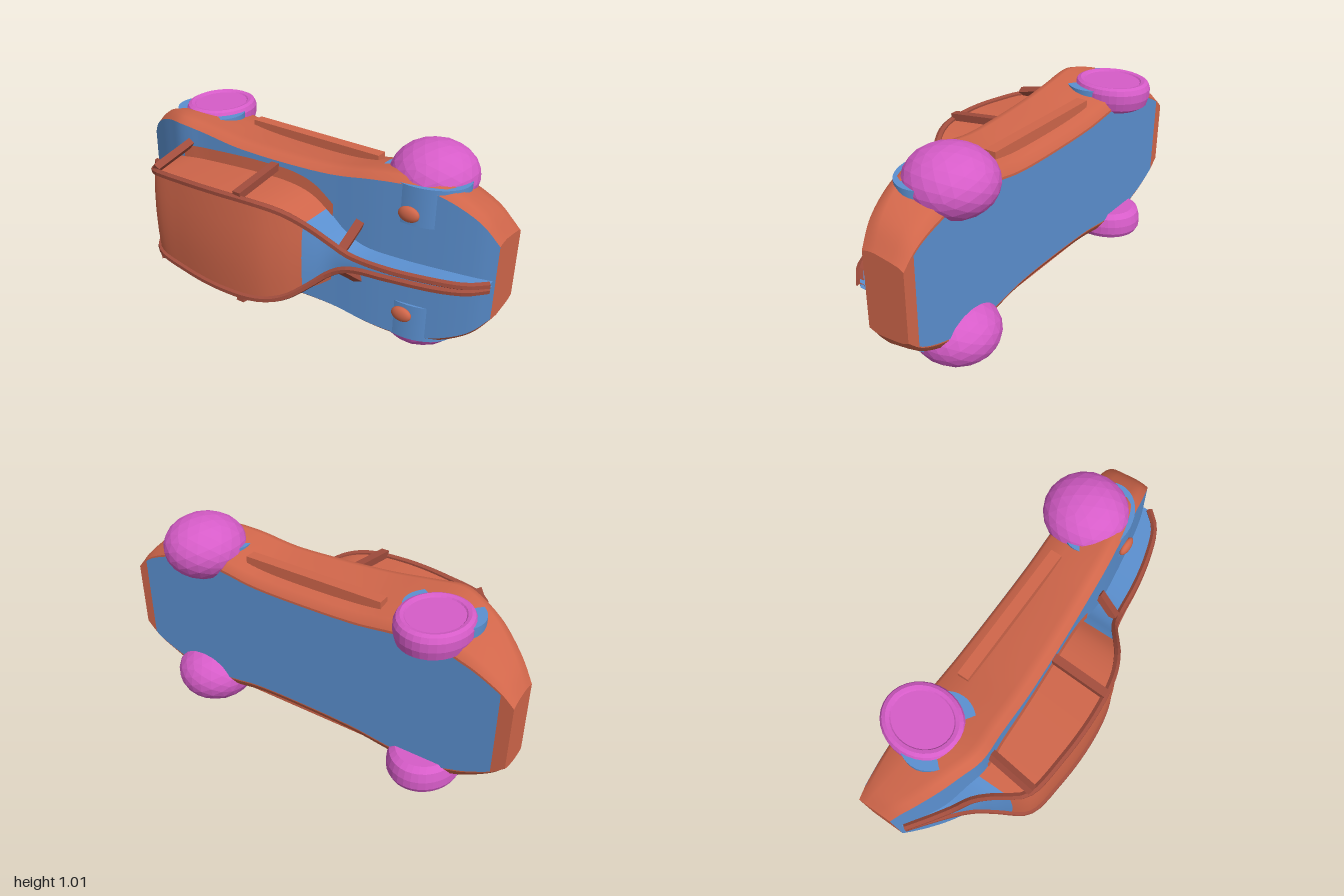
import * as THREE from 'three';

const V = (x, y, z) => new THREE.Vector3(x, y, z);
const material = (color, extra = {}) => new THREE.MeshStandardMaterial({ color, ...extra });
const ORANGE = material(0xd0664a, { side: THREE.DoubleSide });
const BLUE = material(0x5b90d0, { side: THREE.DoubleSide });
const RAIL = material(0xa04c3c, { flatShading: true });
const PINK = material(0xd65cc8, { flatShading: true });

// The vehicle lies on its side: length along x, width along y, its roof towards +z.
// Each station is (x, half width, height).
const bodyCurve = new THREE.CatmullRomCurve3([
  V(-1, 0.18, -0.1), V(-0.95, 0.245, -0.065), V(-0.9, 0.29, -0.03), V(-0.8, 0.36, 0.03),
  V(-0.7, 0.4, 0.075), V(-0.6, 0.415, 0.11), V(-0.45, 0.4, 0.105), V(-0.25, 0.375, 0.1),
  V(0, 0.365, 0.085), V(0.25, 0.37, 0.065), V(0.45, 0.4, 0.05), V(0.6, 0.41, 0.03),
  V(0.75, 0.39, 0.005), V(0.85, 0.345, -0.015), V(0.93, 0.285, -0.035), V(1, 0.19, -0.06),
]);
const cabinCurve = new THREE.CatmullRomCurve3([
  V(-0.98, 0.01, -0.07), V(-0.9, 0.02, -0.01), V(-0.8, 0.055, 0.065), V(-0.72, 0.13, 0.13),
  V(-0.66, 0.18, 0.21), V(-0.58, 0.215, 0.32), V(-0.4, 0.235, 0.355), V(-0.15, 0.25, 0.365),
  V(0.05, 0.245, 0.34), V(0.16, 0.215, 0.295), V(0.25, 0.15, 0.235), V(0.33, 0.08, 0.185),
  V(0.42, 0.035, 0.165), V(0.6, 0.02, 0.145), V(0.8, 0.018, 0.1), V(0.92, 0.015, 0.05),
  V(0.99, 0.012, -0.02),
]);
const body = bodyCurve.getPoints(75);
const cabin = cabinCurve.getPoints(80);

// Body station at a given x
function bodyAt(x) {
  const i = Math.max(1, body.findIndex((p) => p.x >= x));
  const a = body[i - 1], b = body[i];
  return a.clone().lerp(b, (x - a.x) / (b.x - a.x));
}

// Half cross-section of the body, from the deck edge down to the floor edge
function sideProfile({ x, y: w, z: top }, s) {
  const k = Math.min(1, (w - 0.1) / 0.28);
  return [
    V(x, s * (w - 0.035 * k), top),
    V(x, s * (w - 0.008 * k), top - 0.03),
    V(x, s * w, top - 0.065),
    V(x, s * (w - 0.03 * k), (top - 0.26) / 2 - 0.05),
    V(x, s * (w - 0.05 * k), -0.245),
    V(x, s * (w - 0.09 * k), -0.27),
  ];
}

export function createModel() {
  const model = new THREE.Group();
  const car = new THREE.Group();
  car.name = 'vehicle';
  car.position.y = 0.505;
  model.add(car);

  const add = (name, geometry, mat, x = 0, y = 0, z = 0) => {
    const mesh = new THREE.Mesh(geometry, mat);
    mesh.name = name;
    mesh.position.set(x, y, z);
    car.add(mesh);
    return mesh;
  };

  // Smooth sheet through rows of points
  const sheet = (name, rows, mat) => {
    const n = rows[0].length, index = [];
    for (let i = 0; i < rows.length - 1; i++) {
      for (let j = 0; j < n - 1; j++) {
        const a = i * n + j, b = a + n;
        index.push(a, b, a + 1, b, b + 1, a + 1);
      }
    }
    const geometry = new THREE.BufferGeometry().setFromPoints(rows.flat());
    geometry.setIndex(index);
    geometry.computeVertexNormals();
    return add(name, geometry, mat);
  };

  // Square bar between two points
  const bar = (name, a, b, wide, deep) => {
    const mesh = add(name, new THREE.BoxGeometry(wide, deep, a.distanceTo(b)), RAIL);
    mesh.position.copy(a).add(b).multiplyScalar(0.5);
    mesh.quaternion.setFromUnitVectors(V(0, 0, 1), b.clone().sub(a).normalize());
  };

  // Body shell
  const across = (p, i) => [sideProfile(p, -1)[i], sideProfile(p, 1)[i]];
  sheet('deck', body.map((p) => across(p, 0)), BLUE);
  sheet('underside', body.map((p) => across(p, 5)), ORANGE);
  const floor = body.filter((p) => Math.abs(p.x) < 0.95).map((p) =>
    across(p, 5).map((q) => V(q.x, q.y * 0.97, q.z - 0.003)));
  sheet('floorPanel', floor, BLUE);
  for (const end of [body[0], body[body.length - 1]]) {
    const left = sideProfile(end, 1), right = sideProfile(end, -1);
    sheet('endPanel', left.map((p, i) => [p, right[i]]), ORANGE);
  }

  // Cabin with a blue nose and a narrow blue tail fin
  const cabinRow = ({ x, y: w, z }, s) => {
    const base = Math.min(bodyAt(x).z - 0.01, z);
    return [V(x, s * w, base), V(x, s * w, z)];
  };
  const roofRow = ({ x, y: w, z }) =>
    [-1, -0.5, 0, 0.5, 1].map((t) => V(x, t * w, z + 0.06 * w * (1 - t * t)));
  const zones = [['nose', -2, -0.62, BLUE], ['cabin', -0.62, 0.24, ORANGE], ['tailFin', 0.24, 2, BLUE]];
  for (const [name, from, to, mat] of zones) {
    const first = Math.max(0, cabin.findIndex((p) => p.x >= from) - 1);
    const part = cabin.slice(first).filter((p) => p.x <= to);
    sheet(name + 'Roof', part.map(roofRow), mat);
    for (const s of [-1, 1]) sheet(name + 'Side', part.map((p) => cabinRow(p, s)), mat);
  }

  for (const s of [-1, 1]) {
    sheet('bodySide', body.map((p) => sideProfile(p, s)), ORANGE);

    // Orange deck band beside the cabin
    const band = cabin.filter((p) => p.x > -0.6 && p.x < 0.27).map((p) => {
      const z = bodyAt(p.x).z + 0.004;
      return [V(p.x, s * p.y, z), V(p.x, s * Math.min(0.31, p.y + 0.06), z)];
    });
    sheet('deckBand', band, ORANGE);

    // Roof rail running from nose to tail
    const path = new THREE.CatmullRomCurve3(cabin.filter((p, i) => i % 2 === 0)
      .map((p) => V(p.x, s * p.y, p.z)));
    add('roofRail', new THREE.TubeGeometry(path, 60, 0.017, 6), RAIL);

    // Pillars and side step
    bar('frontPillar', V(-0.56, s * 0.235, 0.33), V(-0.54, s * 0.3, 0.09), 0.035, 0.035);
    bar('middlePillar', V(-0.04, s * 0.265, 0.36), V(-0.04, s * 0.305, 0.08), 0.04, 0.035);
    bar('rearPillar', V(0.38, s * 0.045, 0.165), V(0.4, s * 0.145, 0.05), 0.04, 0.035);
    add('sideStep', new THREE.BoxGeometry(0.71, 0.066, 0.055), ORANGE, 0.005, s * 0.345, -0.172);

    // Oval deck lamp
    const lamp = add('deckLamp', new THREE.SphereGeometry(1, 20, 12), ORANGE, 0.628, s * 0.253, 0.042);
    lamp.scale.set(0.05, 0.036, 0.022);

    // Blue wheel arches
    for (const [x, r, y] of [[-0.6, 0.18, 0.3], [0.62, 0.2, 0.29]]) {
      const arch = add('wheelArch', new THREE.CylinderGeometry(1, 1, 0.18, 40), BLUE, x, s * y, -0.115);
      arch.scale.set(r, 1, 0.15);
    }

    // Dished disc wheel at the front
    const profile = [[0, -0.13], [0.13, -0.13], [0.155, -0.11], [0.165, -0.07], [0.165, -0.03],
      [0.155, -0.008], [0.14, 0], [0.125, -0.004], [0.12, -0.01], [0, -0.01]];
    const disc = add('frontWheel', new THREE.LatheGeometry(
      profile.map(([r, h]) => new THREE.Vector2(r, h)), 32), PINK, -0.6, s * 0.412, -0.19);
    if (s < 0) disc.rotation.x = Math.PI;
    disc.scale.z = 1.15;

    // Faceted ball wheel at the back
    const ball = add('rearWheel', new THREE.IcosahedronGeometry(1, 3), PINK, 0.62, s * 0.355, -0.182);
    ball.scale.set(0.195, 0.15, 0.202);
  }
  return model;
}
